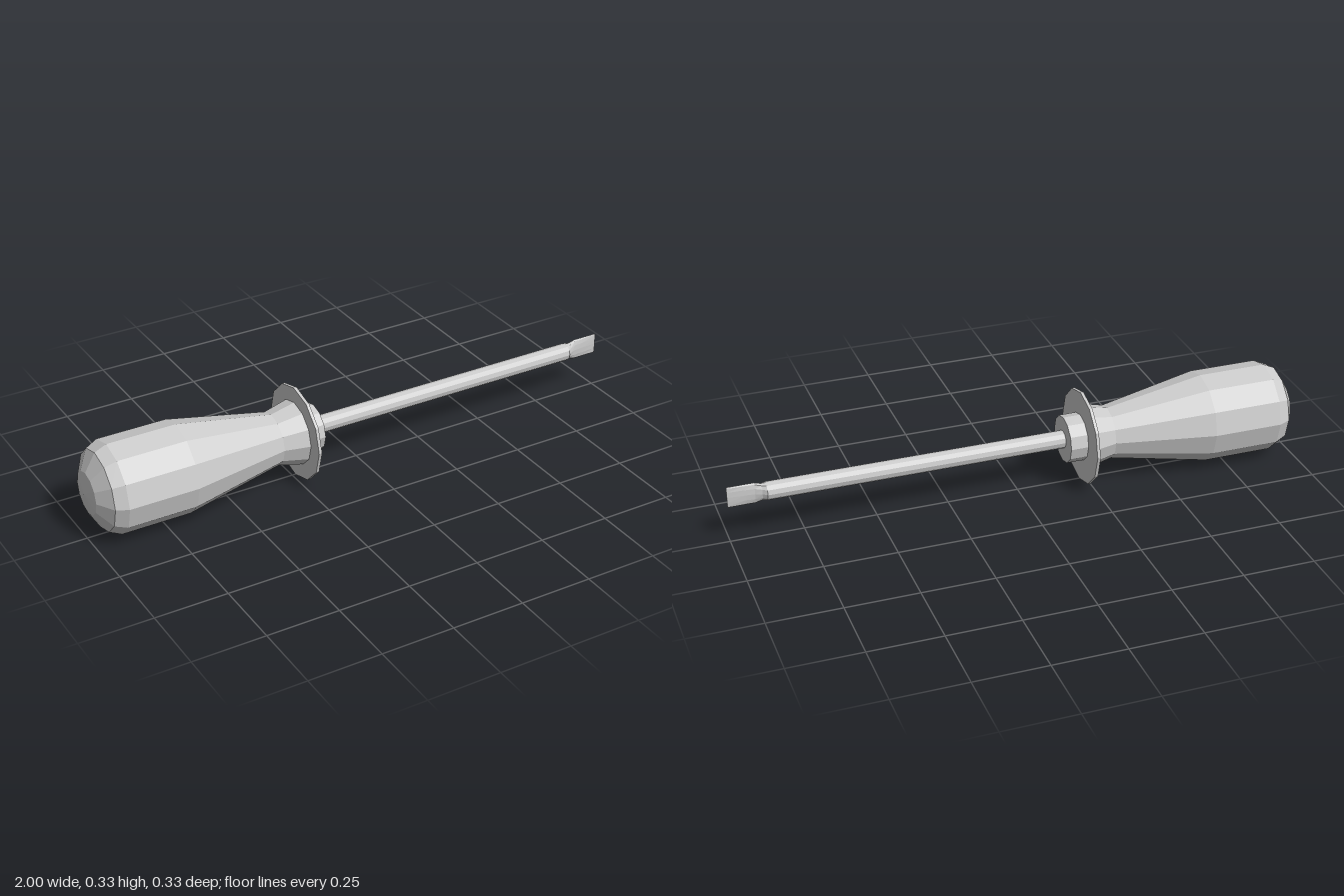
import * as THREE from 'three';

const SIDES = 12;
const AXIS_Y = 0.167;

export function createModel() {
  const root = new THREE.Group();
  root.name = 'screwdriver';
  const material = new THREE.MeshStandardMaterial({ color: 0xcccccc, flatShading: true });

  // Turns [x, radiusY, radiusZ = radiusY] stations into a faceted solid along the x axis.
  function turned(name, stations) {
    const points = stations.map(([x, r]) => new THREE.Vector2(r, x));
    const geometry = new THREE.LatheGeometry(points, SIDES);
    geometry.rotateZ(-Math.PI / 2);
    const pos = geometry.attributes.position;
    for (let i = 0; i < pos.count; i++) {
      const [, ry, rz = ry] = stations[i % stations.length];
      if (ry > 0) pos.setZ(i, pos.getZ(i) * rz / ry);
    }
    geometry.computeVertexNormals();
    const mesh = new THREE.Mesh(geometry, material);
    mesh.name = name;
    mesh.position.y = AXIS_Y;
    root.add(mesh);
  }

  // Rounded butt, straight grip, waist, and flare up to the guard
  turned('handle', [
    [-1, 0], [-0.99, 0.075], [-0.953, 0.139], [-0.912, 0.158],
    [-0.67, 0.158], [-0.325, 0.092], [-0.235, 0.113], [-0.235, 0],
  ]);
  turned('guard', [[-0.238, 0], [-0.238, 0.167], [-0.227, 0.167], [-0.227, 0]]);
  turned('collar', [[-0.23, 0], [-0.23, 0.083], [-0.165, 0.083], [-0.165, 0]]);
  turned('shaft', [[-0.17, 0], [-0.17, 0.031], [0.87, 0.031], [0.87, 0]]);

  // Shaft end flattened into a thin, slightly wider blade
  turned('blade', [
    [0.869, 0], [0.869, 0.031, 0.031], [0.885, 0.031, 0.018],
    [0.908, 0.038, 0.01], [0.94, 0.038, 0.007], [1, 0.038, 0.003], [1, 0],
  ]);

  return root;
}
